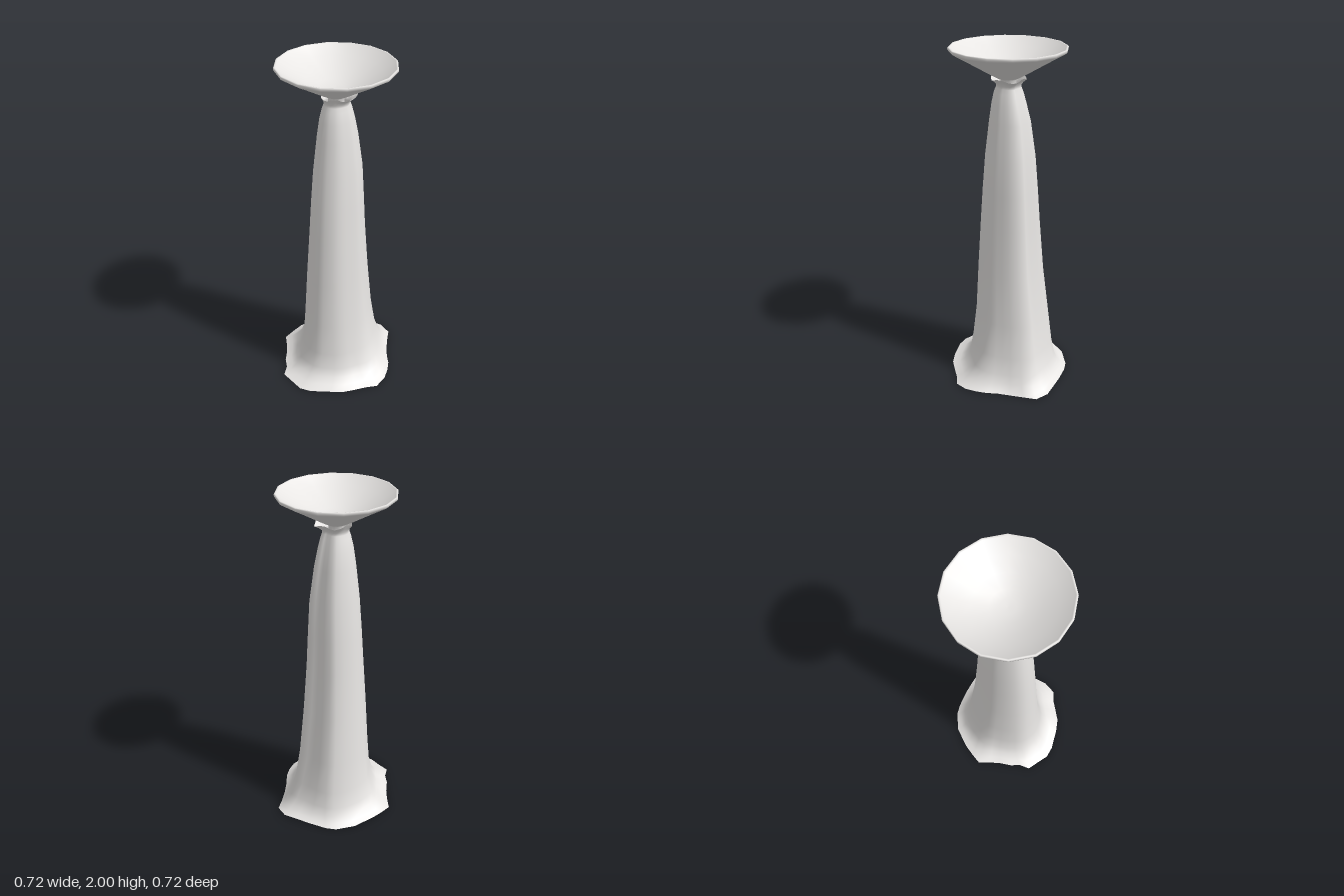
import * as THREE from 'three';

const linen = new THREE.MeshStandardMaterial({ color: 0xe8e6e4 });
linen.name = 'pale linen grey';
linen.side = THREE.DoubleSide;

// Outlines seen from above (x, z), starting on the left side and running round the back.
// The flared hem:
const HEM = [
  [0.36, 0.08], [0.355, 0.015], [0.335, -0.045], [0.32, -0.12], [0.31, -0.2], [0.305, -0.28],
  [0.245, -0.332], [0.17, -0.345], [0.08, -0.357], [-0.03, -0.362], [-0.095, -0.354], [-0.2, -0.302],
  [-0.29, -0.2], [-0.33, -0.135], [-0.362, -0.075], [-0.333, 0], [-0.313, 0.065], [-0.3, 0.14],
  [-0.274, 0.2], [-0.272, 0.265], [-0.21, 0.305], [-0.145, 0.35], [-0.075, 0.36], [0.05, 0.345],
  [0.13, 0.325], [0.19, 0.288], [0.25, 0.25], [0.317, 0.222], [0.353, 0.15],
];
// The hanging body at mid height, with one sharp fold at the back left:
const BODY = [
  [0.15, 0.04], [0.154, 0.01], [0.157, -0.02], [0.16, -0.055], [0.154, -0.1], [0.128, -0.141],
  [0.1, -0.14], [0.068, -0.152], [0.03, -0.173], [-0.01, -0.185], [-0.045, -0.179], [-0.085, -0.148],
  [-0.115, -0.115], [-0.134, -0.08], [-0.147, -0.04], [-0.148, -0.005], [-0.146, 0.03], [-0.139, 0.065],
  [-0.128, 0.095], [-0.112, 0.123], [-0.085, 0.145], [-0.055, 0.158], [-0.025, 0.164], [0.02, 0.16],
  [0.05, 0.147], [0.072, 0.132], [0.091, 0.115], [0.113, 0.091], [0.135, 0.066],
];

// Height, x extent, z extent, share of the body outline, edge ripple
const ROWS = [
  [0.008, -0.362, 0.36, -0.362, 0.36, 0, 0.006],
  [0.025, -0.32, 0.333, -0.335, 0.31, 0.1, 0.003],
  [0.055, -0.28, 0.303, -0.312, 0.272, 0.25, 0],
  [0.1, -0.247, 0.273, -0.293, 0.242, 0.45, 0],
  [0.2, -0.212, 0.236, -0.274, 0.224, 0.65, 0],
  [0.4, -0.19, 0.205, -0.248, 0.201, 0.85, 0],
  [0.7, -0.168, 0.181, -0.21, 0.184, 1, 0],
  [1.0, -0.148, 0.16, -0.185, 0.164, 1, 0],
  [1.2, -0.136, 0.15, -0.171, 0.149, 1, 0],
  [1.4, -0.122, 0.139, -0.155, 0.131, 1, 0],
  [1.6, -0.1, 0.113, -0.126, 0.106, 1, 0],
  [1.7, -0.085, 0.096, -0.1, 0.091, 1, 0],
  [1.76, -0.071, 0.082, -0.084, 0.077, 1, 0],
  [1.785, -0.062, 0.074, -0.074, 0.066, 1, 0],
  [1.8, -0.062, 0.073, -0.072, 0.065, 0.9, 0],
  [1.82, -0.074, 0.09, -0.088, 0.075, 0.6, 0.003],
  [1.837, -0.086, 0.115, -0.104, 0.087, 0.3, 0.008],
];

// Cloth draped over the stem, gathered into a frill at the neck
function drapedCloth() {
  const n = HEM.length;
  const positions = [], index = [];
  const span = (ring, axis) => {
    const v = ring.map((p) => p[axis]);
    return [Math.min(...v), Math.max(...v)];
  };
  const fit = (ring, x0, x1, z0, z1) => {
    const [ax, bx] = span(ring, 0), [az, bz] = span(ring, 1);
    return ring.map(([x, z]) => [
      THREE.MathUtils.mapLinear(x, ax, bx, x0, x1),
      THREE.MathUtils.mapLinear(z, az, bz, z0, z1)]);
  };
  ROWS.forEach(([y, x0, x1, z0, z1, share, ripple], j) => {
    const hem = fit(HEM, x0, x1, z0, z1), body = fit(BODY, x0, x1, z0, z1);
    const ring = hem.map(([x, z], i) => [
      THREE.MathUtils.lerp(x, body[i][0], share),
      THREE.MathUtils.lerp(z, body[i][1], share)]);
    fit(ring, x0, x1, z0, z1).forEach(([x, z]) => {
      positions.push(x, y + ripple * Math.cos(5 * Math.atan2(-z, x) + 0.6), z);
    });
    if (j === ROWS.length - 1) return;
    for (let i = 0; i < n; i++) {
      const a = j * n + i, b = j * n + (i + 1) % n;
      index.push(a, b, b + n, a, b + n, a + n);
    }
  });
  const geometry = new THREE.BufferGeometry();
  geometry.setAttribute('position', new THREE.Float32BufferAttribute(positions, 3));
  geometry.setIndex(index);
  geometry.computeVertexNormals();
  return geometry;
}

// Sixteen-sided funnel-shaped top with a thin rim and a hollow bowl
function dishTop() {
  const profile = [
    [0.045, 1.78], [0.042, 1.825], [0.066, 1.838], [0.108, 1.861], [0.174, 1.9], [0.247, 1.943],
    [0.308, 1.978], [0.317, 1.985], [0.318, 1.996], [0.314, 2], [0.306, 1.998],
    [0.298, 1.988], [0.24, 1.952], [0.165, 1.912], [0.09, 1.885], [0.04, 1.877], [0, 1.876],
  ].map(([r, y]) => new THREE.Vector2(r, y));
  return new THREE.LatheGeometry(profile, 16);
}

export function createModel() {
  const group = new THREE.Group();
  group.name = 'drapedPedestalTable';
  const add = (name, geometry) => {
    const mesh = new THREE.Mesh(geometry, linen);
    mesh.name = name;
    group.add(mesh);
    return mesh;
  };
  add('drapedCloth', drapedCloth());
  add('dishTop', dishTop()).position.set(0.003, 0, -0.003);
  return group;
}
